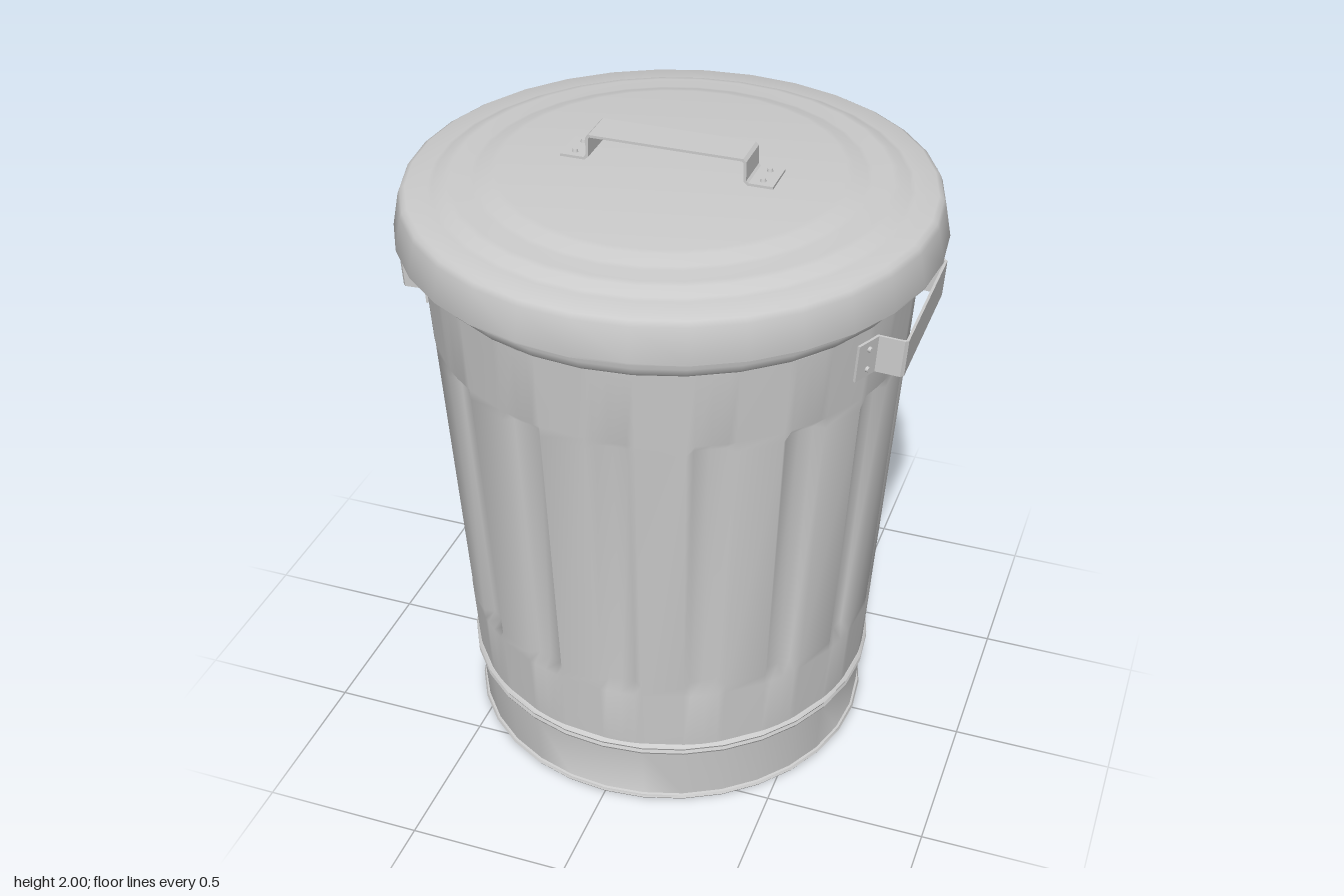
import * as THREE from 'three';
import { toCreasedNormals } from 'three/addons/utils/BufferGeometryUtils.js';

const material = new THREE.MeshStandardMaterial({ color: 0xcccccc, side: THREE.DoubleSide });
const SIDES = 32;
const wallRadius = (y) => 0.632 + 0.064 * y;

function add(parent, name, geometry) {
  const mesh = new THREE.Mesh(geometry, material);
  mesh.name = name;
  parent.add(mesh);
  return mesh;
}

function turned(profile, crease) {
  const points = profile.map(([r, y]) => new THREE.Vector2(r, y));
  return toCreasedNormals(new THREE.LatheGeometry(points, SIDES), crease);
}

// Tapered wall with sixteen pressed flutes, built ring by ring
function flutedWall() {
  const rows = [[0.23, 0], [0.45, 0], [0.485, 1], [1.385, 1], [1.42, 0], [1.66, 0]]; // [y, flute depth]
  const steps = [[0, 0], [1.9, 1], [5.6, 1.1], [9.35, 1], [11.25, 0]]; // [degrees, flute depth]
  const positions = [], index = [];
  const count = 16 * steps.length;
  rows.forEach(([y, rowDepth], j) => {
    for (let k = 0; k < 16; k++) {
      for (const [deg, depth] of steps) {
        const a = THREE.MathUtils.degToRad(k * 22.5 + deg);
        const r = wallRadius(y) - 0.028 * depth * rowDepth;
        positions.push(r * Math.sin(a), y, r * Math.cos(a));
      }
    }
    if (j === 0) return;
    for (let i = 0; i < count; i++) {
      const a = (j - 1) * count + i, b = (j - 1) * count + (i + 1) % count;
      index.push(a, b, b + count, a, b + count, a + count);
    }
  });
  const geometry = new THREE.BufferGeometry();
  geometry.setAttribute('position', new THREE.Float32BufferAttribute(positions, 3));
  geometry.setIndex(index);
  geometry.computeVertexNormals();
  return geometry;
}

// Bent metal strap: a half path mirrored in x, thickened and extruded along z
function strap(half, width, thickness) {
  const path = [...half.map(([x, y]) => [-x, y]), ...[...half].reverse()]
    .map(([x, y]) => new THREE.Vector2(x, y));
  const normal = (a, b) => new THREE.Vector2(a.y - b.y, b.x - a.x).normalize();
  const offset = (d) => path.map((p, i) => {
    const n1 = normal(path[Math.max(i - 1, 0)], path[Math.max(i, 1)]);
    const n2 = normal(path[Math.min(i, path.length - 2)], path[Math.min(i + 1, path.length - 1)]);
    const miter = n1.clone().add(n2).normalize();
    return p.clone().addScaledVector(miter, d / miter.dot(n1));
  });
  const shape = new THREE.Shape([...offset(thickness / 2), ...offset(-thickness / 2).reverse()]);
  const geometry = new THREE.ExtrudeGeometry(shape, { depth: width, bevelEnabled: false });
  return geometry.translate(0, 0, -width / 2);
}

// Strap with two bolts on each end tab
function boltedHandle(name, half, width) {
  const handle = new THREE.Group();
  handle.name = name;
  add(handle, 'strap', strap(half, width, 0.008));
  const [[x0, y0], [x1, y1]] = half;
  const slope = Math.atan2(y0 - y1, x0 - x1);
  for (const side of [-1, 1]) {
    for (const z of [-0.28 * width, 0.28 * width]) {
      const bolt = add(handle, 'bolt', new THREE.CylinderGeometry(0.007, 0.011, 0.016, 10));
      bolt.position.set(side * (x0 + x1) / 2, (y0 + y1) / 2 + 0.005, z);
      bolt.rotation.z = side * slope;
    }
  }
  return handle;
}

export function createModel() {
  const model = new THREE.Group();
  model.name = 'dustbin';

  // Foot with closed bottom, and the raised band above it
  add(model, 'base', turned([
    [0, 0], [0.64, 0], [0.644, 0.006], [0.64, 0.014], [0.633, 0.016], [0.645, 0.2],
    [0.653, 0.203], [0.658, 0.212], [0.654, 0.222], [0.658, 0.23], [0.653, 0.237], [wallRadius(0.24), 0.24],
  ], 0.7));

  add(model, 'flutedWall', flutedWall());

  // Rolled lip at the mouth, tucked under the lid
  add(model, 'rim', turned([
    [wallRadius(1.66), 1.66], [0.748, 1.67], [0.755, 1.69], [0.758, 1.72], [0.762, 1.75],
    [0.762, 1.8], [0.752, 1.815], [0.735, 1.81], [0.73, 1.78],
  ], 0.9));

  // Stepped lid with flared skirt
  add(model, 'lid', turned([
    [0.772, 1.86], [0.798, 1.745], [0.803, 1.74], [0.815, 1.74], [0.816, 1.746], [0.797, 1.845],
    [0.79, 1.862], [0.775, 1.871], [0.71, 1.872], [0.695, 1.876], [0.665, 1.893], [0.645, 1.896],
    [0.585, 1.896], [0.57, 1.899], [0.53, 1.914], [0.51, 1.917], [0, 1.919],
  ], 0.8));

  // Lid handle
  const lidHandle = boltedHandle('lidHandle',
    [[0.325, 0.004], [0.25, 0.004], [0.241, 0.012], [0.24, 0.07], [0.233, 0.077]], 0.12);
  lidHandle.position.y = 1.919;
  model.add(lidHandle);

  // Side handles, leaning with the wall
  for (const side of [1, -1]) {
    const handle = boltedHandle('strapHandle',
      [[0.328, -0.073], [0.247, -0.037], [0.245, 0.038], [0.238, 0.045]], 0.118);
    handle.setRotationFromMatrix(new THREE.Matrix4().makeBasis(
      new THREE.Vector3(0, 0, 1), new THREE.Vector3(1, 0, 0), new THREE.Vector3(0, 1, 0)));
    const lean = new THREE.Group();
    lean.name = 'leaningMount';
    lean.add(handle);
    lean.position.set(wallRadius(1.56), 1.56, 0);
    lean.rotation.z = -0.064;
    const sideHandle = new THREE.Group();
    sideHandle.name = side > 0 ? 'leftHandle' : 'rightHandle';
    sideHandle.add(lean);
    sideHandle.rotation.y = side > 0 ? 0 : Math.PI;
    model.add(sideHandle);
  }
  return model;
}
